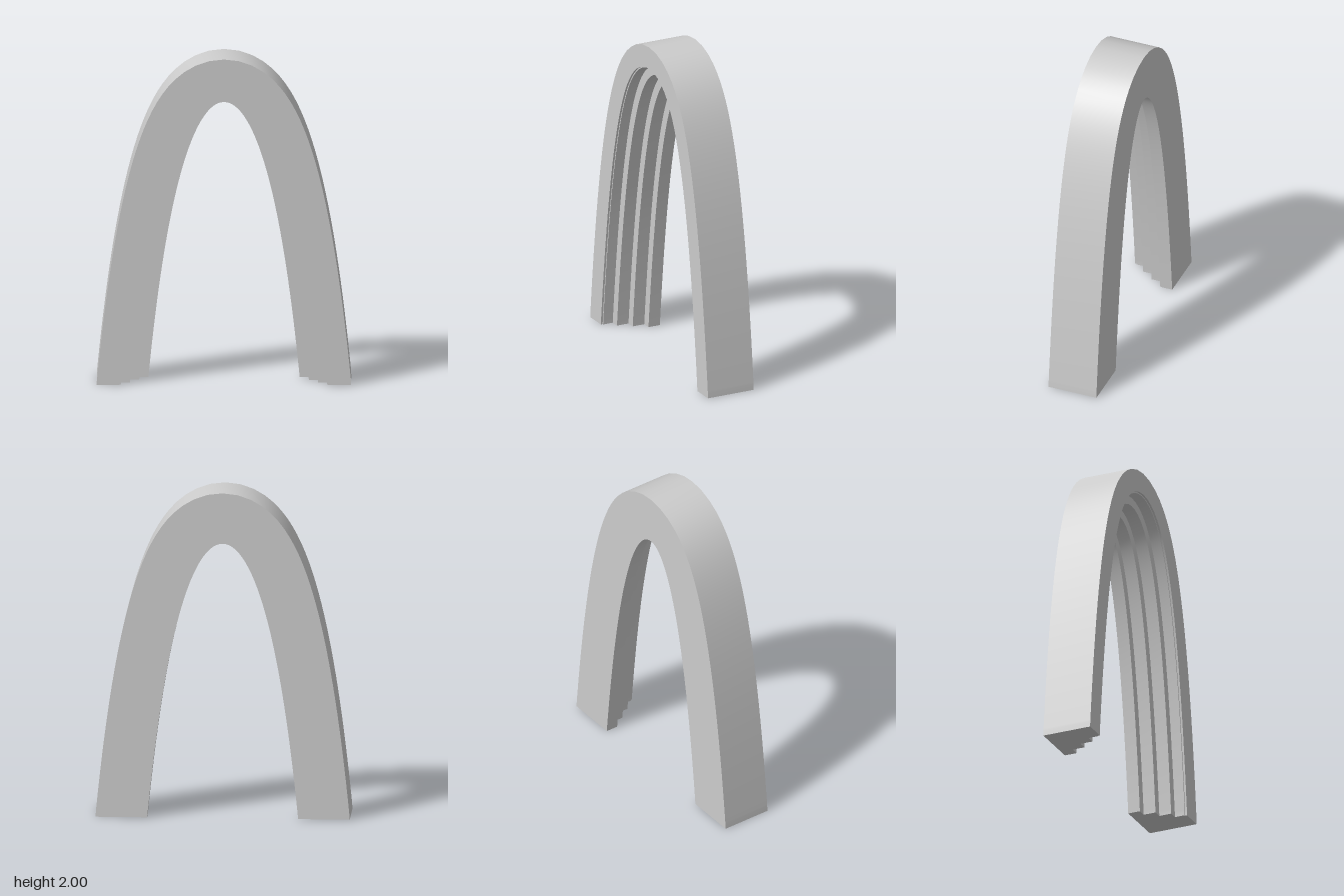
import * as THREE from 'three';
import { mergeGeometries } from 'three/addons/utils/BufferGeometryUtils.js';

const HALF_WIDTH = 0.455; // inner half span at the feet
const INNER_HEIGHT = 1.69;
const SEGMENTS = 72;
const K = 3.28; // steepness of the catenary part

// Stepped cross-section: [distance outward from the inner curve, z]
const PROFILE = [
  [0, -0.155], [0.31, -0.155], [0.31, 0.155],
  [0.172, 0.155], [0.172, 0.143], [0.165, 0.143], // narrow rebate on the front edge
  [0.165, 0.078], [0.11, 0.078],
  [0.11, 0], [0.055, 0],
  [0.055, -0.078], [0, -0.078],
];

// Inner curve of the arch with its outward normal; u runs from -1 to 1
function station(u) {
  const c = Math.cosh(K) - 1;
  const drop = 0.5 * u * u + 0.5 * (Math.cosh(K * u) - 1) / c;
  const slope = INNER_HEIGHT / HALF_WIDTH * (u + 0.5 * K * Math.sinh(K * u) / c);
  const normal = new THREE.Vector2(slope, 1).normalize();
  if (Math.abs(u) > 0.99999) normal.set(Math.sign(u), 0); // level cut at the feet
  return { x: HALF_WIDTH * u, y: INNER_HEIGHT * (1 - drop), normal };
}

// One moulding face swept along the arch: smooth lengthwise, sharp at its edges
function sweepEdge(p, q, stations) {
  const positions = [], index = [];
  stations.forEach((s, i) => {
    for (const [d, z] of [p, q]) {
      positions.push(s.x + s.normal.x * d, s.y + s.normal.y * d, z);
    }
    if (i < stations.length - 1) {
      const a = 2 * i;
      index.push(a, a + 1, a + 3, a, a + 3, a + 2);
    }
  });
  const geometry = new THREE.BufferGeometry();
  geometry.setAttribute('position', new THREE.Float32BufferAttribute(positions, 3));
  geometry.setIndex(index);
  geometry.computeVertexNormals();
  return geometry;
}

export function createModel() {
  const group = new THREE.Group();
  group.name = 'steppedArch';
  const stone = new THREE.MeshStandardMaterial({ color: 0xcccccc });
  stone.name = 'paleStone';

  // Arch body with stepped mouldings
  const stations = [];
  for (let i = 0; i <= SEGMENTS; i++) {
    stations.push(station(Math.sin((i / SEGMENTS - 0.5) * Math.PI)));
  }
  const faces = PROFILE.map((p, i) => sweepEdge(p, PROFILE[(i + 1) % PROFILE.length], stations));
  const arch = new THREE.Mesh(mergeGeometries(faces), stone);
  arch.name = 'archBody';
  group.add(arch);

  // Flat undersides of both feet
  for (const side of [-1, 1]) {
    const outline = PROFILE.map(([d, z]) => new THREE.Vector2(side * (HALF_WIDTH + d), z));
    const sole = new THREE.ShapeGeometry(new THREE.Shape(outline)).rotateX(Math.PI / 2);
    const foot = new THREE.Mesh(sole, stone);
    foot.name = side > 0 ? 'leftFootBase' : 'rightFootBase';
    group.add(foot);
  }
  return group;
}
